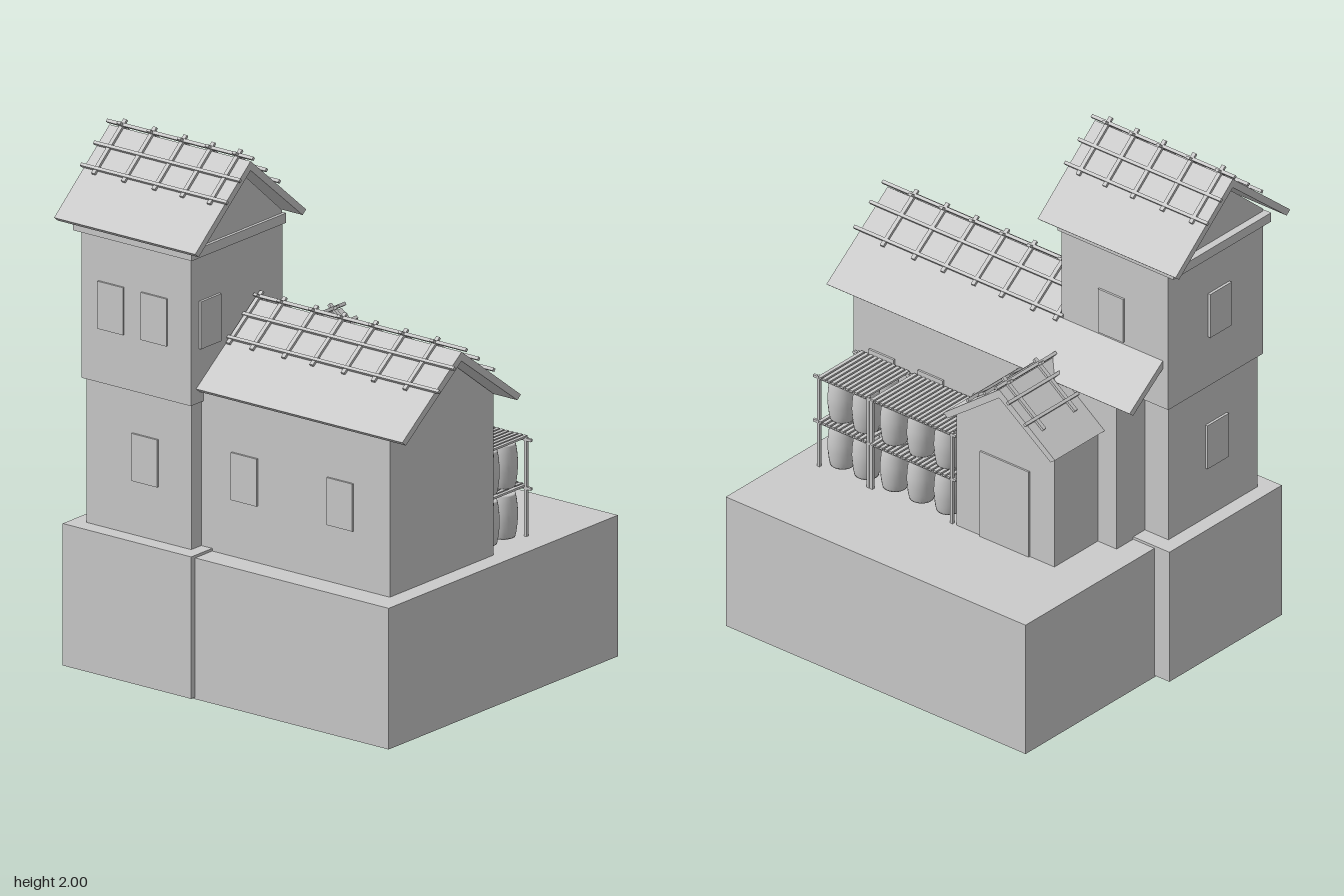
import * as THREE from 'three';

const grey = new THREE.MeshStandardMaterial({ color: 0xcccccc, side: THREE.DoubleSide });

function add(parent, name, geometry, x = 0, y = 0, z = 0) {
  const mesh = new THREE.Mesh(geometry, grey);
  mesh.name = name;
  mesh.position.set(x, y, z);
  parent.add(mesh);
  return mesh;
}

// Box given by its limits on each axis
function block(parent, name, [x0, x1], [y0, y1], [z0, z1]) {
  const g = new THREE.BoxGeometry(x1 - x0, y1 - y0, z1 - z0);
  return add(parent, name, g, (x0 + x1) / 2, (y0 + y1) / 2, (z0 + z1) / 2);
}

// Box without its bottom face
function openBlock(...args) {
  const mesh = block(...args);
  const index = Array.from(mesh.geometry.index.array);
  index.splice(18, 6);
  mesh.geometry.setIndex(index);
  mesh.geometry.clearGroups();
}

// Outline in x and y, extruded from z0 to z1
function prism(parent, name, points, z0, z1) {
  const shape = new THREE.Shape(points.map(([x, y]) => new THREE.Vector2(x, y)));
  return add(parent, name, new THREE.ExtrudeGeometry(shape, { depth: z1 - z0, bevelEnabled: false }), 0, 0, z0);
}

// Gable roof with its ridge along z at x = 0, carrying a lattice of battens
function roof(parent, { half, eave, apex, z0, z1, bars, barZ, crossZ, reach }) {
  const slope = (apex - eave) / half, t = 0.035;
  prism(parent, 'roofSlab', [
    [-half, eave], [0, apex], [half, eave],
    [half - 0.02, eave - 0.016], [0, apex - t], [-half + 0.02, eave - 0.016],
  ], z0, z1);
  for (const d of bars) {
    for (const s of d ? [-1, 1] : [1]) {
      const bar = add(parent, 'roofBatten', new THREE.BoxGeometry(0.012, 0.012, barZ[1] - barZ[0]),
        s * d, apex - d * slope + 0.012, (barZ[0] + barZ[1]) / 2);
      bar.rotation.z = -s * Math.atan(slope);
    }
  }
  const over = 0.02, length = (reach + over) * Math.hypot(1, slope), mid = (reach - over) / 2;
  for (const z of crossZ) {
    for (const s of [-1, 1]) {
      const bar = add(parent, 'roofCrossBatten', new THREE.BoxGeometry(length, 0.01, 0.016),
        s * mid, apex - mid * slope + 0.008, z);
      bar.rotation.z = -s * Math.atan(slope);
    }
  }
}

function group(parent, name, x = 0, z = 0) {
  const g = new THREE.Group();
  g.name = name;
  g.position.set(x, 0, z);
  parent.add(g);
  return g;
}

// Shallow window panel; the axis tells which way its wall faces
function windowPanel(parent, axis, x, y, z) {
  const w = 0.118, d = 0.016;
  add(parent, 'window', new THREE.BoxGeometry(axis === 'x' ? d : w, 0.18, axis === 'x' ? w : d), x, y, z);
}

export function createModel() {
  const model = new THREE.Group();
  model.name = 'farmhouse';

  // Hollow foundations
  openBlock(model, 'foundation', [-0.645, 0.67], [0.005, 0.54], [-0.67, 0.738]);
  openBlock(model, 'towerFoundation', [-0.668, -0.045], [0.012, 0.55], [-0.74, -0.15]);

  // Main house
  const house = group(model, 'mainHouse', -0.25);
  prism(house, 'houseWalls', [[-0.297, 0.54], [0.297, 0.54], [0.297, 1.152], [0, 1.375], [-0.297, 1.152]], -0.57, 0.665);
  roof(house, {
    half: 0.34, eave: 1.157, apex: 1.41, z0: -0.667, z1: 0.757,
    bars: [0, 0.07, 0.157], barZ: [-0.2, 0.78],
    crossZ: [0.635, 0.49, 0.352, 0.208, 0.078, -0.068, -0.175], reach: 0.175,
  });
  for (const z of [0.53, 0.30, 0.04]) windowPanel(house, 'x', 0.297, 0.845, z);
  for (const z of [0.44, 0]) windowPanel(house, 'x', -0.297, 0.845, z);

  // Tower
  const tower = group(model, 'tower');
  block(tower, 'towerLower', [-0.605, -0.11], [0.54, 1.1], [-0.68, -0.2]);
  block(tower, 'towerUpper', [-0.62, -0.095], [1.1, 1.66], [-0.692, -0.19]);
  block(tower, 'towerCornice', [-0.63, -0.088], [1.655, 1.692], [-0.722, -0.178]);
  const top = group(tower, 'towerTop', -0.358);
  prism(top, 'towerGable', [[-0.262, 1.69], [0.262, 1.69], [0.262, 1.702], [0, 1.93], [-0.262, 1.702]], -0.692, -0.19);
  roof(top, {
    half: 0.318, eave: 1.704, apex: 1.972, z0: -0.773, z1: -0.125,
    bars: [0, 0.075, 0.15], barZ: [-0.783, -0.112],
    crossZ: [-0.715, -0.578, -0.438, -0.31, -0.185], reach: 0.165,
  });
  windowPanel(tower, 'x', -0.095, 1.395, -0.427);
  windowPanel(tower, 'x', -0.62, 1.395, -0.555);
  windowPanel(tower, 'x', -0.62, 1.395, -0.355);
  windowPanel(tower, 'x', -0.605, 0.845, -0.41);
  windowPanel(tower, 'z', -0.375, 1.395, -0.695);
  windowPanel(tower, 'z', -0.375, 0.845, -0.682);
  windowPanel(tower, 'z', -0.515, 1.395, -0.188);

  // Side porch, ridge turned to run along x
  const porch = group(model, 'porch', 0, -0.252);
  porch.rotation.y = Math.PI / 2;
  prism(porch, 'porchWalls', [[-0.23, 0.54], [0.23, 0.54], [0.23, 1.015], [0, 1.175], [-0.23, 1.015]], 0, 0.288);
  roof(porch, {
    half: 0.262, eave: 1.01, apex: 1.205, z0: 0, z1: 0.323,
    bars: [0, 0.055, 0.135], barZ: [0.01, 0.34],
    crossZ: [0.103, 0.277], reach: 0.173,
  });
  block(porch, 'door', [-0.115, 0.115], [0.54, 0.893], [0.28, 0.295]);

  // Barrels on two-storey racks against the right wall
  const profile = [[0, 0], [0.044, 0], [0.05, 0.03], [0.054, 0.083], [0.05, 0.136], [0.044, 0.166], [0, 0.166]];
  const curve = new THREE.SplineCurve(profile.slice(1, -1).map(p => new THREE.Vector2(...p)));
  const barrel = new THREE.LatheGeometry(
    [new THREE.Vector2(0, 0), ...curve.getPoints(12), new THREE.Vector2(0, 0.166)], 24);
  const racks = [
    { z0: 0.393, z1: 0.625, barrels: [0.567, 0.453] },
    { z0: 0.0, z1: 0.377, barrels: [0.32, 0.195, 0.068] },
  ];
  for (const { z0, z1, barrels } of racks) {
    const rack = group(model, 'barrelRack');
    for (const z of barrels) {
      for (const x of [0.12, 0.225]) {
        for (const y of [0.545, 0.735]) add(rack, 'barrel', barrel, x, y, z);
      }
    }
    for (const x of [0.065, 0.285]) {
      for (const z of [z0, z1]) block(rack, 'rackPost', [x - 0.006, x + 0.006], [0.54, 0.915], [z - 0.006, z + 0.006]);
      for (const y of [0.718, 0.902]) block(rack, 'rackRail', [x - 0.005, x + 0.005], [y, y + 0.01], [z0 - 0.02, z1 + 0.025]);
    }
    // Slatted shelves
    const count = Math.round((z1 - z0) / 0.021);
    for (let i = 0; i < count; i++) {
      const z = z0 + (i + 0.5) * (z1 - z0) / count;
      for (const y of [0.726, 0.91]) block(rack, 'rackSlat', [0.055, 0.297], [y, y + 0.008], [z - 0.007, z + 0.007]);
    }
  }
  return model;
}
